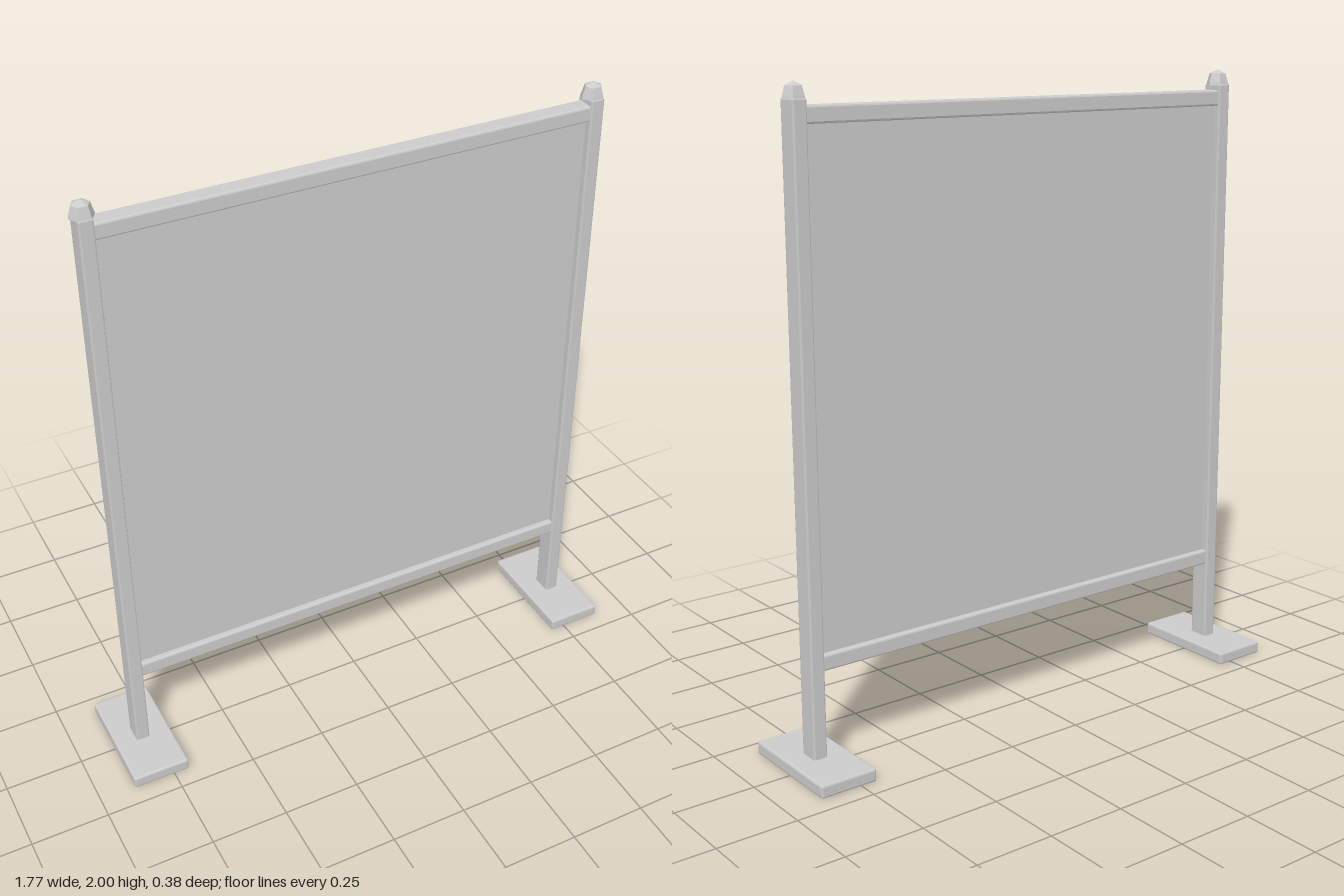
import * as THREE from 'three';
import { RoundedBoxGeometry } from 'three/addons/geometries/RoundedBoxGeometry.js';

export function createModel() {
  const group = new THREE.Group();
  const material = new THREE.MeshStandardMaterial({ color: 0xcccccc, flatShading: true });

  const add = (name, geometry, x, y) => {
    const mesh = new THREE.Mesh(geometry, material);
    mesh.name = name;
    mesh.position.set(x, y, 0);
    group.add(mesh);
  };
  // Box with small chamfered edges, spanning y0 to y1
  const bar = (name, x, w, y0, y1, d, bevel) =>
    add(name, new RoundedBoxGeometry(w, y1 - y0, d, 1, bevel), x, (y0 + y1) / 2);

  // Six-sided cap profile, corners pointing along x
  const capProfile = [[0, 0], [0.037, 0], [0.035, 0.01], [0.027, 0.038], [0, 0.05]]
    .map(([r, y]) => new THREE.Vector2(r, y));
  const capGeometry = new THREE.LatheGeometry(capProfile, 6, Math.PI / 2);

  // Foot, post and cap on each side
  for (const [side, s] of [['left', 1], ['right', -1]]) {
    bar(side + 'Foot', s * 0.792, 0.185, 0, 0.04, 0.376, 0.006);
    bar(side + 'Post', s * 0.794, 0.045, 0.03, 1.955, 0.068, 0.005);
    add(side + 'Cap', capGeometry, s * 0.794, 1.95);
  }

  // Rails above and below the thin panel
  bar('topRail', 0, 1.56, 1.885, 1.935, 0.058, 0.006);
  bar('bottomRail', 0, 1.56, 0.307, 0.357, 0.058, 0.006);
  add('panel', new THREE.BoxGeometry(1.56, 1.55, 0.02), 0, 1.121);

  return group;
}
